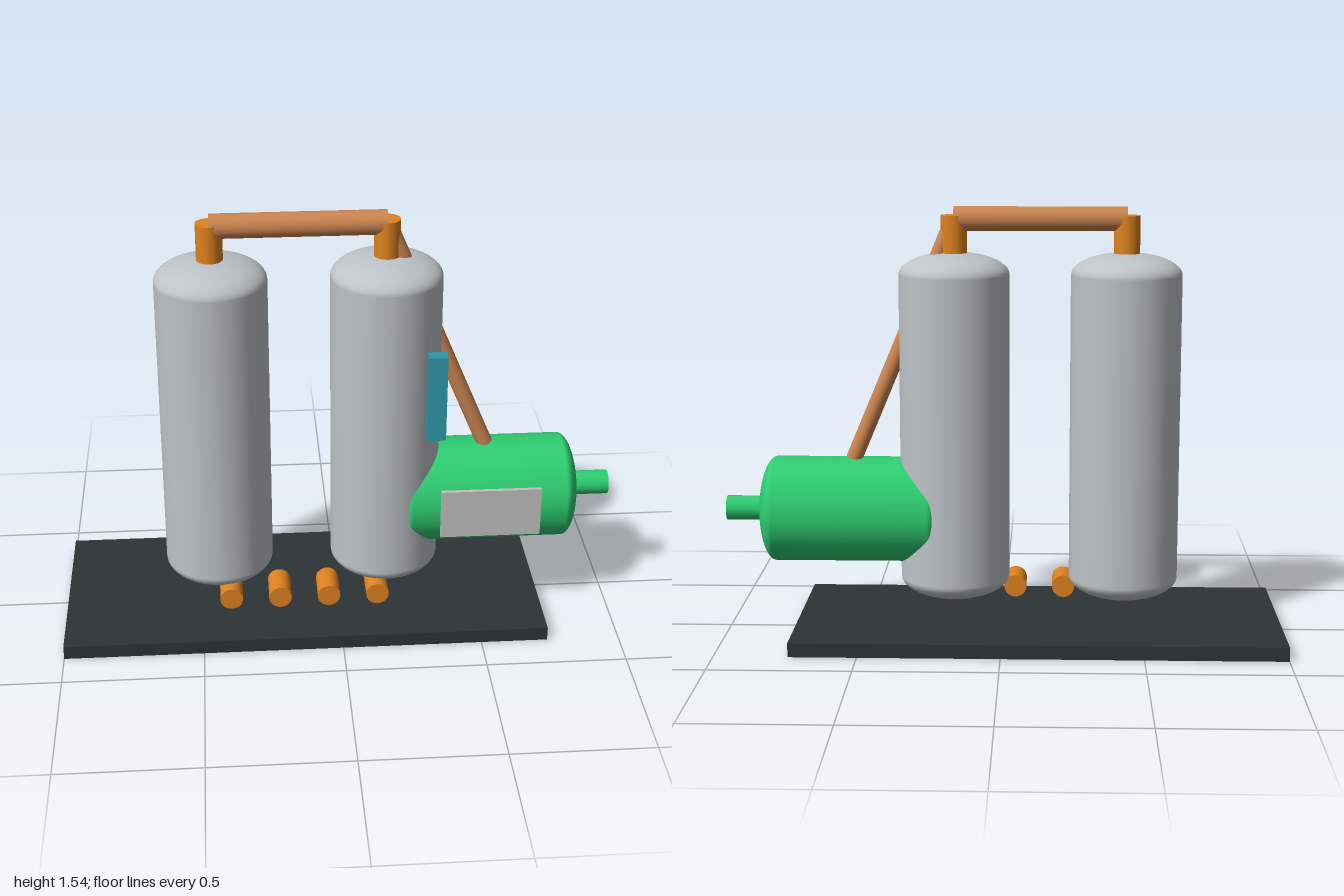
import * as THREE from 'three';

const mat = (name, color) => {
  const m = new THREE.MeshStandardMaterial({ color });
  m.name = name;
  return m;
};

export function createModel() {
  const model = new THREE.Group();
  model.name = 'adsorptionSkid';

  const steel = mat('silver grey', 0xbdc3c7);
  const dark = mat('charcoal', 0x2d3436);
  const green = mat('green', 0x2ecc71);
  const orange = mat('orange', 0xde821e);
  const copper = mat('copper', 0xcb8550);
  const blue = mat('teal blue', 0x2f98ae);
  const pale = mat('pale grey', 0xc0c0be);

  const add = (name, geometry, material, x = 0, y = 0, z = 0) => {
    const mesh = new THREE.Mesh(geometry, material);
    mesh.name = name;
    mesh.position.set(x, y, z);
    model.add(mesh);
    return mesh;
  };

  // Box given by its min and max corners
  const box = (name, material, a, b) => add(name,
    new THREE.BoxGeometry(b[0] - a[0], b[1] - a[1], b[2] - a[2]), material,
    (a[0] + b[0]) / 2, (a[1] + b[1]) / 2, (a[2] + b[2]) / 2);

  // Round bar between two points
  const pipe = (name, material, radius, a, b) => {
    const from = new THREE.Vector3(...a), to = new THREE.Vector3(...b);
    const dir = to.clone().sub(from);
    const mesh = add(name, new THREE.CylinderGeometry(radius, radius, dir.length(), 32), material);
    mesh.position.copy(from).add(to).multiplyScalar(0.5);
    mesh.quaternion.setFromUnitVectors(new THREE.Vector3(0, 1, 0), dir.normalize());
    return mesh;
  };

  // Pressure vessel along y from 0 to length, with shallow elliptical heads
  const vesselGeometry = (radius, length, head) => {
    const points = [], n = 12;
    for (let i = 0; i <= n; i++) {
      const t = (i / n) * Math.PI / 2;
      points.push(new THREE.Vector2(radius * Math.sin(t), head * (1 - Math.cos(t))));
    }
    for (let i = n; i >= 0; i--) {
      const t = (i / n) * Math.PI / 2;
      points.push(new THREE.Vector2(radius * Math.sin(t), length - head * (1 - Math.cos(t))));
    }
    return new THREE.LatheGeometry(points, 64);
  };

  // Skid base
  box('base', dark, [-1, 0, -0.36], [0.74, 0.05, 0.36]);

  // Twin towers with top nozzles
  const towers = [-0.435, 0.173];
  towers.forEach((x, i) => {
    add('tower' + (i + 1), vesselGeometry(0.196, 1.25, 0.078), steel, x, 0.125, 0);
    pipe('topNozzle' + (i + 1), orange, 0.046, [x, 1.34, 0], [x, 1.505, 0]);
  });

  // Header between towers and the downcomer to the receiver
  pipe('headerPipe', copper, 0.043, [towers[0], 1.493, 0], [towers[1], 1.493, 0]);
  pipe('downcomerPipe', copper, 0.029, [0.173, 1.495, 0], [0.537, 0.63, 0]);

  // Horizontal receiver with outlet stub
  const receiver = add('receiver', vesselGeometry(0.189, 0.675, 0.06), green, 0.203, 0.445, 0);
  receiver.rotation.z = -Math.PI / 2;
  pipe('receiverOutlet', green, 0.044, [0.85, 0.445, 0], [1, 0.445, 0]);

  // Name plate and control box
  box('namePlate', pale, [0.36, 0.355, 0.19], [0.72, 0.54, 0.205]);
  box('controlBox', blue, [0.295, 0.784, 0.215], [0.36, 1.1, 0.265]);

  // Row of valves at the tower feet
  [-0.397, -0.22, -0.043, 0.134].forEach((x, i) =>
    pipe('valve' + (i + 1), orange, 0.041, [x, 0.13, 0.09], [x, 0.13, 0.215]));

  return model;
}
